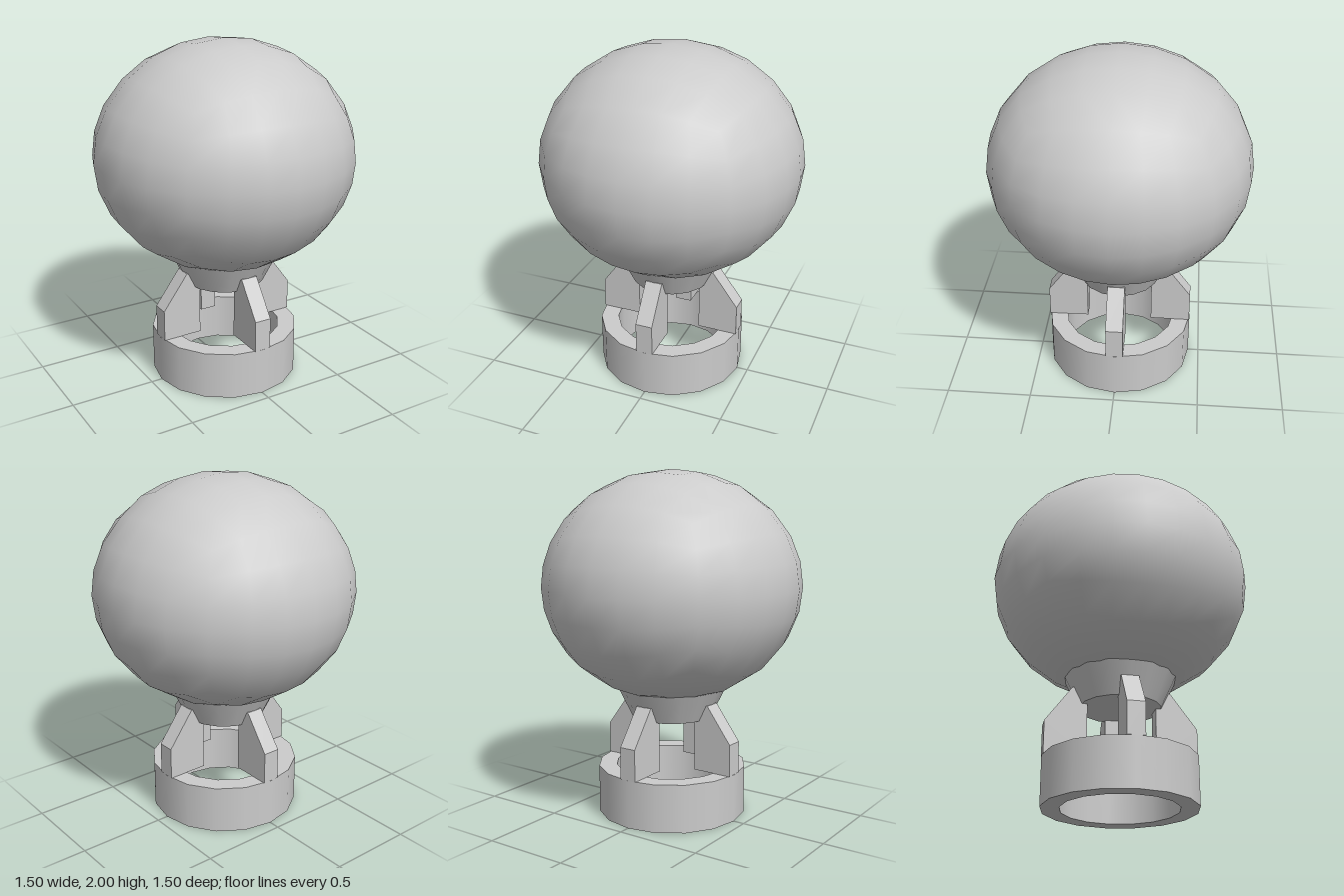
import * as THREE from 'three';

const material = new THREE.MeshStandardMaterial({ color: 0xcccccc });

function add(parent, name, geometry) {
  const mesh = new THREE.Mesh(geometry, material);
  mesh.name = name;
  parent.add(mesh);
  return mesh;
}

// Slightly flattened ball: a subdivided cube rounded into an ellipsoid
function ballGeometry(rx, ry) {
  const geo = new THREE.BoxGeometry(2, 2, 2, 6, 6, 6);
  const pos = geo.attributes.position;
  const n = new THREE.Vector3();
  const round = (a, b, c) =>
    a * Math.sqrt(1 - (b * b) / 2 - (c * c) / 2 + (b * b * c * c) / 3);
  for (let i = 0; i < pos.count; i++) {
    const x = pos.getX(i), y = pos.getY(i), z = pos.getZ(i);
    const sx = round(x, y, z), sy = round(y, z, x), sz = round(z, x, y);
    pos.setXYZ(i, sx * rx, sy * ry, sz * rx);
    n.set(sx / rx, sy / ry, sz / rx).normalize();
    geo.attributes.normal.setXYZ(i, n.x, n.y, n.z);
  }
  return geo;
}

// Open ring with sharp rims and smooth walls
function ringGeometry(outer, inner, height) {
  const shape = new THREE.Shape();
  const hole = new THREE.Path();
  const sides = 16;
  for (let i = 0; i <= sides; i++) {
    const a = (i / sides) * Math.PI * 2;
    const step = i ? 'lineTo' : 'moveTo';
    shape[step](outer * Math.cos(a), outer * Math.sin(a));
    hole[step](inner * Math.cos(a), inner * Math.sin(a));
  }
  shape.holes.push(hole);
  const geo = new THREE.ExtrudeGeometry(shape, { depth: height, bevelEnabled: false });
  // Radial normals on the inner and outer walls
  const pos = geo.attributes.position, nor = geo.attributes.normal;
  for (let i = 0; i < pos.count; i++) {
    if (Math.abs(nor.getZ(i)) > 0.5) continue;
    const x = pos.getX(i), y = pos.getY(i), r = Math.hypot(x, y);
    const s = r > (outer + inner) / 2 ? 1 : -1;
    nor.setXYZ(i, (s * x) / r, (s * y) / r, 0);
  }
  return geo.rotateX(-Math.PI / 2);
}

export function createModel() {
  const model = new THREE.Group();
  model.name = 'ballOnStand';

  add(model, 'ball', ballGeometry(0.75, 0.66)).position.y = 1.34;

  // Tapered neck under the ball
  add(model, 'neck', new THREE.CylinderGeometry(0.32, 0.235, 0.175, 16)).position.y = 0.6625;

  add(model, 'baseRing', ringGeometry(0.435, 0.33, 0.28));

  // Four sloped struts joining the ring to the neck
  const profile = new THREE.Shape([
    [0.195, 0.28], [0.432, 0.28], [0.432, 0.465], [0.28, 0.67], [0.195, 0.67],
  ].map(([x, y]) => new THREE.Vector2(x, y)));
  const strut = new THREE.ExtrudeGeometry(profile, { depth: 0.1, bevelEnabled: false });
  strut.translate(0, 0, -0.05);
  ['leftStrut', 'backStrut', 'rightStrut', 'frontStrut'].forEach((name, i) => {
    add(model, name, strut).rotation.y = (i * Math.PI) / 2;
  });

  return model;
}
